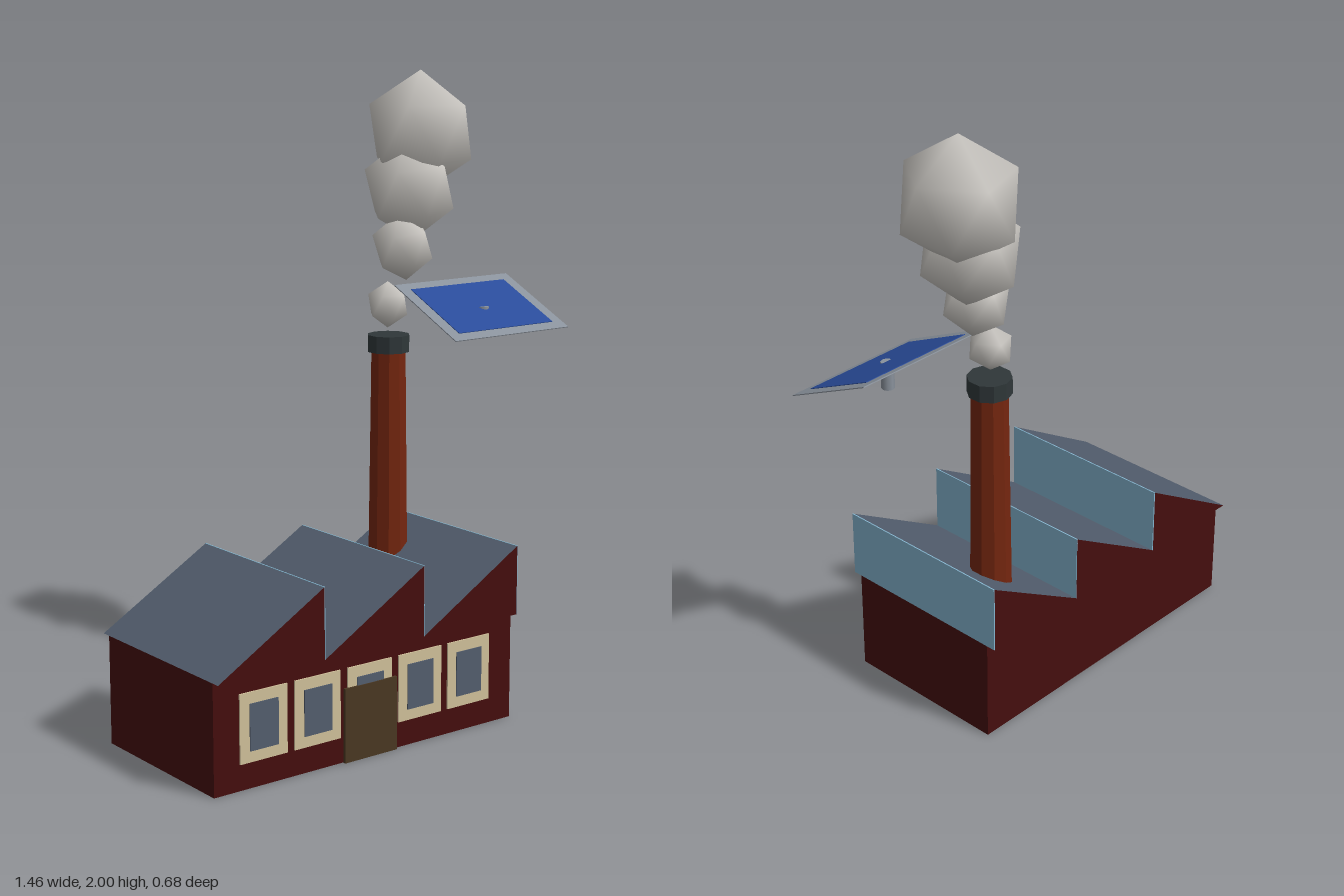
import * as THREE from 'three';
import { mergeVertices } from 'three/addons/utils/BufferGeometryUtils.js';

const mat = (name, color, opts = {}) => Object.assign(new THREE.MeshStandardMaterial({ color, ...opts }), { name });

export function createModel() {
  const brick = mat('brick', 0x450e0e);
  const slate = mat('slate', 0x535e6e);
  const skylight = mat('skylight', 0x84b4ce);
  const cream = mat('cream', 0xd0c09a);
  const wood = mat('wood', 0x4a3722);
  const terracotta = mat('terracotta', 0x74260f, { flatShading: true });
  const iron = mat('iron', 0x2f3739, { flatShading: true });
  const smoke = mat('smoke', 0xc9c6c1);
  const metal = mat('metal', 0x8a929c);
  const cells = mat('solarBlue', 0x2a4c9a);

  const model = new THREE.Group();
  const add = (name, geometry, material, x, y, z, parent = model) => {
    const mesh = new THREE.Mesh(geometry, material);
    mesh.name = name;
    mesh.position.set(x, y, z);
    parent.add(mesh);
    return mesh;
  };
  const box = (w, h, d) => new THREE.BoxGeometry(w, h, d);

  // Hall
  add('hall', box(1.116, 0.34, 0.556), brick, -0.176, 0.17, 0.044);

  // Sawtooth roof: brick gables, slate slopes, glazed upright faces
  const toothW = 1.116 / 3, toothH = 0.22, depth = 0.614;
  const tooth = new THREE.Shape();
  tooth.moveTo(0, 0);
  tooth.lineTo(toothW, 0);
  tooth.lineTo(toothW, toothH);
  tooth.closePath();
  const toothGeometry = new THREE.ExtrudeGeometry(tooth, { depth, bevelEnabled: false });
  for (let i = 0; i < 3; i++) {
    const x = -0.734 + i * toothW;
    add('roofTooth', toothGeometry, [brick, slate], x, 0.34, -0.265);
    add('skylight', box(0.004, toothH, depth), skylight, x + toothW, 0.34 + toothH / 2, 0.042);
  }

  // Windows and door on the front wall
  for (let i = 0; i < 5; i++) {
    const x = -0.563 + i * 0.1925;
    add('windowFrame', box(0.166, 0.21, 0.006), cream, x, 0.185, 0.324);
    add('windowPane', box(0.1, 0.142, 0.006), slate, x, 0.185, 0.327);
  }
  add('door', box(0.195, 0.23, 0.009), wood, -0.178, 0.115, 0.329);

  // Chimney
  add('chimney', new THREE.CylinderGeometry(0.056, 0.066, 0.78, 10), terracotta, 0.245, 0.74, -0.12);
  add('chimneyCap', new THREE.CylinderGeometry(0.068, 0.068, 0.054, 10), iron, 0.245, 1.148, -0.12);

  // Smoke puffs: smooth-shaded icosahedra standing on a corner
  let puff = new THREE.IcosahedronGeometry(1, 0);
  puff.rotateZ(-Math.atan(2 / (1 + Math.sqrt(5))));
  puff.deleteAttribute('normal');
  puff.deleteAttribute('uv');
  puff = mergeVertices(puff, 1e-3);
  puff.computeVertexNormals();
  const puffs = [
    [0.243, 1.27, -0.122, 0.071, 0.0],
    [0.308, 1.447, -0.13, 0.104, 0.15],
    [0.355, 1.625, -0.155, 0.157, 0.1],
    [0.416, 1.802, -0.175, 0.188, 0.0],
  ];
  for (const [x, y, z, r, tilt] of puffs) {
    const mesh = add('smokePuff', puff, smoke, x, y, z);
    mesh.scale.set(r * 0.95, r * 1.04, r);
    mesh.rotation.z = tilt;
  }

  // Tilted solar panel on a short post
  const panel = new THREE.Group();
  panel.name = 'solarPanel';
  panel.position.set(0.495, 1.26, 0.04);
  panel.rotation.x = Math.atan2(0.14, 0.3);
  add('panelFrame', box(0.47, 0.003, 0.331), metal, 0, 0, 0, panel);
  add('panelCells', box(0.39, 0.007, 0.26), cells, 0, 0, 0, panel);
  model.add(panel);
  add('panelPost', new THREE.CylinderGeometry(0.02, 0.02, 0.085, 8), metal, 0.495, 1.218, 0.045);

  return model;
}
